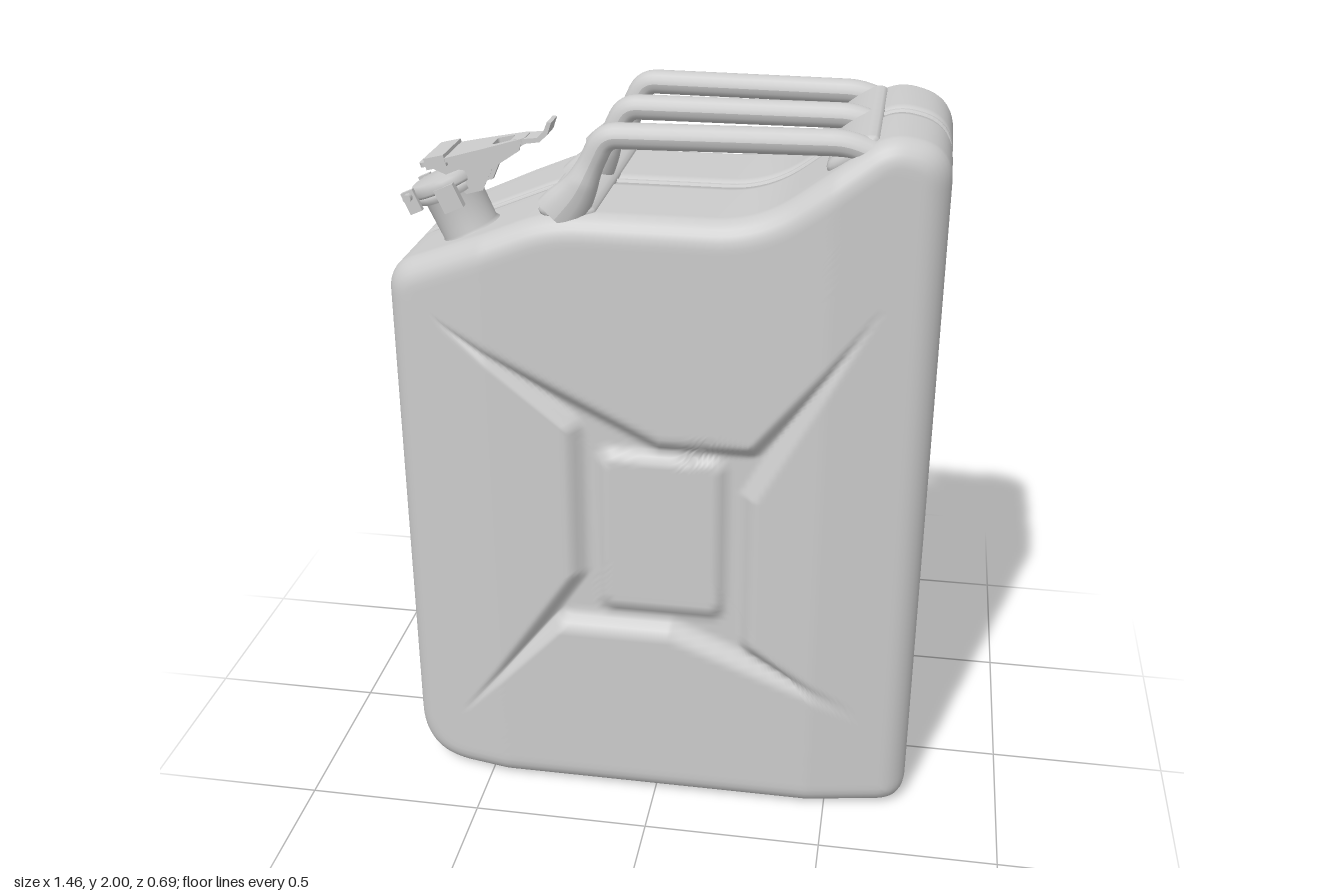
import * as THREE from 'three';

const mat = new THREE.MeshStandardMaterial({ color: 0xcccccc, roughness: 0.7, side: THREE.DoubleSide });
const V2 = (x, y) => new THREE.Vector2(x, y);
const V3 = (x, y, z) => new THREE.Vector3(x, y, z);

function add(parent, name, geo, x = 0, y = 0, z = 0) {
  const m = new THREE.Mesh(geo, mat);
  m.name = name;
  m.position.set(x, y, z);
  parent.add(m);
  return m;
}

// Closed polygon of [x, y, corner cut] with rounded corners
function roundedShape(corners) {
  const s = new THREE.Shape();
  const n = corners.length;
  corners.forEach(([x, y, r], i) => {
    const p = V2(x, y);
    const toward = (k) => {
      const q = V2(corners[k][0], corners[k][1]);
      return p.clone().add(q.sub(p).setLength(r));
    };
    const a = toward((i + n - 1) % n), b = toward((i + 1) % n);
    if (i === 0) s.moveTo(a.x, a.y); else s.lineTo(a.x, a.y);
    s.quadraticCurveTo(x, y, b.x, b.y);
  });
  s.closePath();
  return s;
}

// Signed distance to a polygon, positive inside
function insideDistance(poly, x, y) {
  let d = Infinity, inside = false;
  for (let i = 0, j = poly.length - 1; i < poly.length; j = i++) {
    const [ax, ay] = poly[i], [bx, by] = poly[j];
    const ex = bx - ax, ey = by - ay, wx = x - ax, wy = y - ay;
    const t = THREE.MathUtils.clamp((wx * ex + wy * ey) / (ex * ex + ey * ey), 0, 1);
    d = Math.min(d, Math.hypot(wx - ex * t, wy - ey * t));
    if ((ay > y) !== (by > y) && x < ax + ((y - ay) * ex) / ey) inside = !inside;
  }
  return inside ? d : -d;
}

const outline = roundedShape([
  [-0.735, 0, 0.17], [0.73, 0, 0.08], [0.728, 1.965, 0.09], [0.57, 2.0, 0.06],
  [0.26, 1.77, 0.11], [-0.27, 1.77, 0.09], [-0.722, 1.585, 0.07],
]);

// X-shaped recess pressed into both faces
const recess = [
  [-0.58, 1.46], [-0.23, 1.175], [-0.23, 0.73], [-0.57, 0.22], [-0.26, 0.55], [0.04, 0.55],
  [0.57, 0.335], [0.275, 0.54], [0.275, 1.0], [0.57, 1.545], [0.26, 1.16], [0.02, 1.16],
];

function faceZ(x, y) {
  const ss = THREE.MathUtils.smoothstep;
  const taper = 0.18 * Math.max(0, Math.abs(x) - 0.45);
  const dip = 0.036 * ss(insideDistance(recess, x, y), -0.008, 0.045);
  // Raised centre pad
  const qx = Math.abs(x - 0.02) - 0.13, qy = Math.abs(y - 0.865) - 0.205;
  const pad = Math.hypot(Math.max(qx, 0), Math.max(qy, 0)) + Math.min(Math.max(qx, qy), 0) - 0.045;
  return 0.345 - taper - dip + 0.024 * ss(-pad, -0.01, 0.025);
}

// One pressed half: side wall, rounded edge, then the face closing to its centre
function halfShell(side) {
  const N = 400, R = 0.065, faceRings = 48;
  const pts = outline.getSpacedPoints(N).slice(0, N);
  const inward = pts.map((p, i) => {
    const t = pts[(i + 2) % N].clone().sub(pts[(i + N - 2) % N]).normalize();
    return V2(-t.y, t.x);
  });
  const rings = [[0.04, 0], [0.04, 0.014], [0.012, 0.022], [0.002, 0.036], [0, 0.055]]
    .map(([inset, z]) => ({ inset, z, t: 0 }));
  for (let k = 0; k <= 6; k++) {
    const a = (k / 6) * Math.PI / 2;
    rings.push({ inset: R * (1 - Math.cos(a)), drop: R * (1 - Math.sin(a)), t: 0 });
  }
  for (let k = 1; k <= faceRings; k++) rings.push({ inset: R, drop: 0, t: k / faceRings });
  const pos = [], idx = [], centre = V2(0.01, 0.95);
  rings.forEach((r, j) => {
    for (let i = 0; i < N; i++) {
      const p = pts[i].clone().addScaledVector(inward[i], r.inset).lerp(centre, r.t);
      const z = r.z !== undefined ? r.z : faceZ(p.x, p.y) - r.drop;
      pos.push(p.x, p.y, side * z);
      if (j === rings.length - 1) continue;
      const a = j * N + i, b = j * N + (i + 1) % N, c = b + N, d = a + N;
      if (side > 0) idx.push(a, b, c, a, c, d);
      else idx.push(a, c, b, a, d, c);
    }
  });
  const g = new THREE.BufferGeometry();
  g.setAttribute('position', new THREE.Float32BufferAttribute(pos, 3));
  g.setIndex(idx);
  g.computeVertexNormals();
  return g;
}

// Carry bar: a bent tube whose foot flares out
function handleBar(zFoot, zEnd) {
  const path = new THREE.CurvePath();
  const P = [V3(-0.25, 1.755, zFoot), V3(-0.195, 1.82, zFoot), V3(-0.125, 1.967, zFoot),
    V3(0.47, 1.967, zEnd), V3(0.53, 1.945, zEnd)];
  const cut = (a, b, d) => a.clone().add(b.clone().sub(a).setLength(d));
  let start = P[0];
  for (let i = 1; i < P.length - 1; i++) {
    const a = cut(P[i], P[i - 1], 0.035), b = cut(P[i], P[i + 1], 0.035);
    path.add(new THREE.LineCurve3(start, a));
    path.add(new THREE.QuadraticBezierCurve3(a, P[i], b));
    start = b;
  }
  path.add(new THREE.LineCurve3(start, P[P.length - 1]));
  const n = 80, radial = 16;
  const g = new THREE.TubeGeometry(path, n, 0.033, radial);
  const v = V3(), p = g.attributes.position;
  for (let i = 0; i <= n; i++) {
    const c = path.getPointAt(i / n);
    const flare = 1 + 0.9 * (1 - THREE.MathUtils.smoothstep(i / n, 0, 0.2));
    for (let j = 0; j <= radial; j++) {
      const k = i * (radial + 1) + j;
      v.fromBufferAttribute(p, k).sub(c);
      p.setXYZ(k, c.x + v.x * flare, c.y + v.y * flare, c.z + v.z * Math.min(flare, 1.25));
    }
  }
  g.computeVertexNormals();
  return g;
}

// Flattened bar lying across the can
function crossBar(rx, ry, length) {
  const g = new THREE.CapsuleGeometry(1, length / 0.03, 6, 20);
  g.rotateX(Math.PI / 2);
  return g.scale(rx, ry, 0.03);
}

function extrudeZ(shape, depth, bevel = 0) {
  const g = new THREE.ExtrudeGeometry(shape, {
    depth, bevelEnabled: bevel > 0, bevelSize: bevel, bevelThickness: bevel, bevelOffset: -bevel,
    bevelSegments: 2, curveSegments: 10,
  });
  return g.translate(0, 0, -depth / 2);
}

function createSpout() {
  const spout = new THREE.Group();
  spout.name = 'spout';

  // Neck and cap, square to the sloping shoulder
  const neck = new THREE.Group();
  neck.name = 'neckAndCap';
  neck.position.set(-0.51, 1.665, 0.17);
  neck.rotation.z = 0.42;
  spout.add(neck);
  const profile = [[0.1, -0.02], [0.086, 0.0], [0.076, 0.012], [0.078, 0.11], [0.09, 0.115], [0.09, 0.135],
    [0.0, 0.135]].map(([r, y]) => V2(r, y));
  add(neck, 'neck', new THREE.LatheGeometry(profile, 28));
  const capProfile = [[0, 0.135], [0.095, 0.135], [0.098, 0.142], [0.098, 0.16], [0.09, 0.168], [0, 0.175]]
    .map(([r, y]) => V2(r, y));
  add(neck, 'cap', new THREE.LatheGeometry(capProfile, 28));
  for (const s of [-1, 1]) {
    add(neck, 'lug', new THREE.BoxGeometry(0.055, 0.065, 0.022), 0.02, 0.115, s * 0.09);
    add(neck, 'hingeEar', new THREE.BoxGeometry(0.035, 0.06, 0.014), -0.085, 0.14, s * 0.075);
  }
  const pin = new THREE.CylinderGeometry(0.011, 0.011, 0.2, 12).rotateX(Math.PI / 2);
  add(neck, 'hingePin', pin, -0.085, 0.155, 0);
  add(neck, 'clampPin', pin, 0.02, 0.125, 0);

  // Locking lever with an open middle
  const lever = new THREE.Group();
  lever.name = 'lever';
  lever.position.set(-0.58, 1.865, 0.17);
  lever.rotation.z = 0.24;
  spout.add(lever);
  const plate = roundedShape([[-0.04, -0.08, 0.02], [0.03, -0.08, 0.02], [0.13, -0.062, 0.03],
    [0.24, -0.035, 0.02], [0.24, 0.035, 0.02], [0.13, 0.062, 0.03], [0.03, 0.08, 0.02], [-0.04, 0.08, 0.02]]);
  plate.holes.push(roundedShape([[0.15, -0.032, 0.01], [0.15, 0.032, 0.01], [0.2, 0.026, 0.01], [0.2, -0.026, 0.01]]));
  add(lever, 'leverPlate', extrudeZ(plate, 0.012).rotateX(-Math.PI / 2));
  add(lever, 'leverBridge', new THREE.BoxGeometry(0.055, 0.03, 0.16), 0.005, 0.0, 0);
  const tab = new THREE.Shape([[0.21, -0.006], [0.275, -0.012], [0.3, 0.002], [0.318, 0.03], [0.308, 0.034],
    [0.292, 0.012], [0.272, 0.0], [0.21, 0.008]].map(([x, y]) => V2(x, y)));
  add(lever, 'thumbTab', extrudeZ(tab, 0.07));
  const cheek = new THREE.Shape([[-0.03, 0], [0.23, 0], [0.22, -0.022], [0.14, -0.05], [0.1, -0.1],
    [0.055, -0.1], [0.02, -0.04]].map(([x, y]) => V2(x, y)));
  for (const s of [-1, 1]) {
    const c = add(lever, 'leverCheek', extrudeZ(cheek, 0.01), 0, 0, s * 0.063);
    c.rotation.y = s * 0.13;
  }
  return spout;
}

export function createModel() {
  const can = new THREE.Group();
  can.name = 'fuelCan';

  // Two pressed halves joined by a welded seam
  add(can, 'frontHalf', halfShell(1));
  add(can, 'backHalf', halfShell(-1));
  add(can, 'seam', extrudeZ(outline, 0.01, 0.006));

  // Triple carry handle with its cross members
  const handle = new THREE.Group();
  handle.name = 'handle';
  can.add(handle);
  for (const s of [-1, 0, 1]) add(handle, 'carryBar', handleBar(s * 0.285, s * 0.26));
  add(handle, 'handleFoot', crossBar(0.075, 0.028, 0.56), -0.225, 1.768, 0);
  add(handle, 'handleShoulder', crossBar(0.075, 0.03, 0.5), 0.485, 1.938, 0).rotation.z = 0.62;

  can.add(createSpout());
  return can;
}
